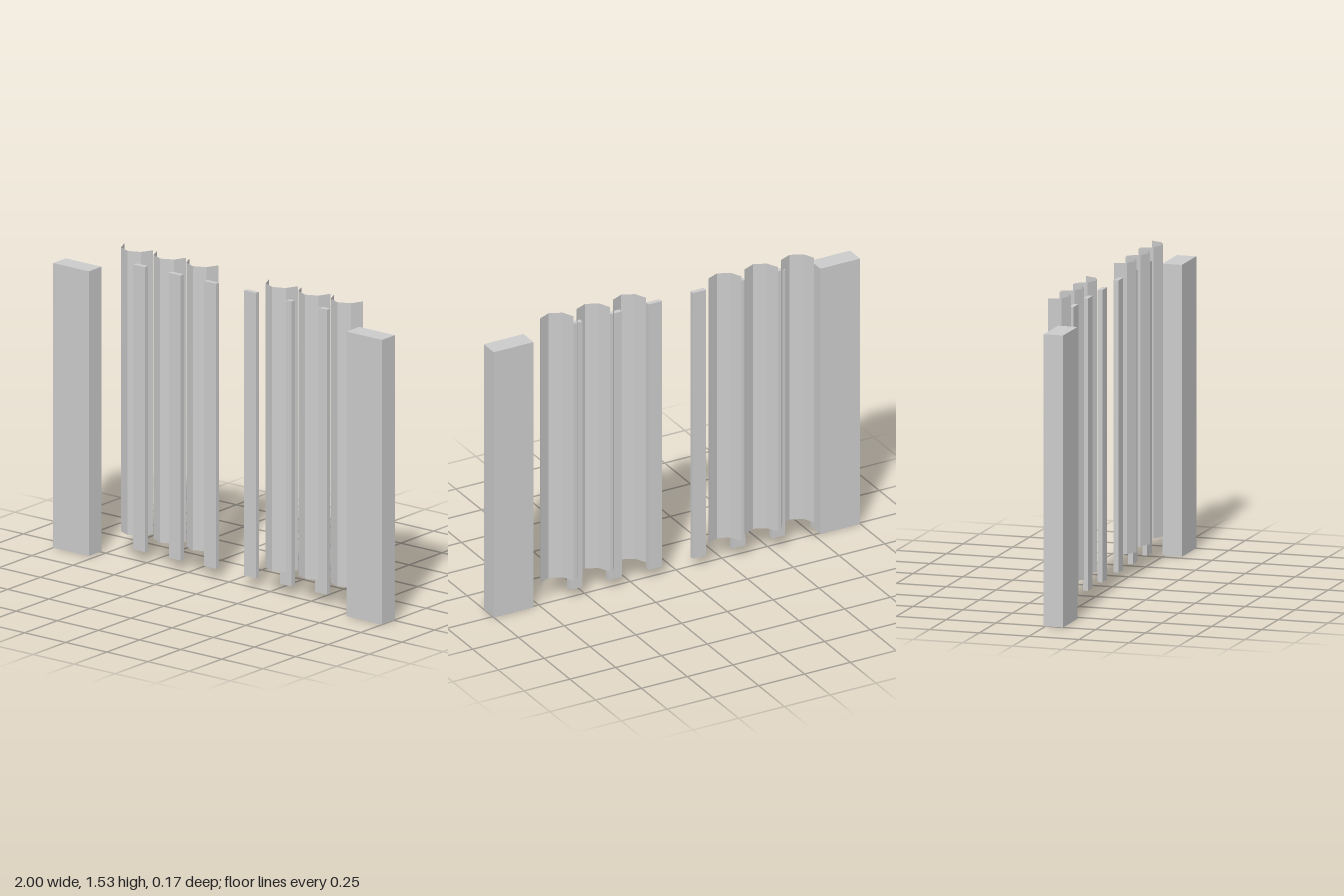
import * as THREE from 'three';

export function createModel() {
  const model = new THREE.Group();
  const solid = new THREE.MeshStandardMaterial({ color: 0xcccccc, flatShading: true });
  const thin = new THREE.MeshStandardMaterial({ color: 0xcccccc, flatShading: true, side: THREE.DoubleSide });

  // Box given by its extents on each axis
  function addBox(name, x0, x1, y0, y1, z0, z1) {
    const mesh = new THREE.Mesh(new THREE.BoxGeometry(x1 - x0, y1 - y0, z1 - z0), solid);
    mesh.position.set((x0 + x1) / 2, (y0 + y1) / 2, (z0 + z1) / 2);
    mesh.name = name;
    model.add(mesh);
  }

  // Broad pillars at both ends
  addBox('rightEndPillar', -1, -0.783, 0, 1.418, -0.01, 0.087);
  addBox('leftEndPillar', 0.783, 1, 0, 1.418, -0.01, 0.087);

  // Thin slats, three on each side of the central gap
  [-0.547, -0.33, -0.115, 0.127, 0.345, 0.56].forEach((x, i) =>
    addBox(`slat${i + 1}`, x - 0.036, x + 0.036, 0.05, 1.47, -0.024, 0));

  // Open folded panel: cross-section in x and z, bowed towards the front
  const fold = [[-0.088, -0.087], [-0.061, -0.029], [0, -0.002], [0.061, -0.029], [0.088, -0.087]];
  const panel = new THREE.PlaneGeometry(1, 1, fold.length - 1, 1);
  const pos = panel.attributes.position;
  for (let i = 0; i < pos.count; i++) {
    const [x, z] = fold[i % fold.length];
    pos.setXYZ(i, x, i < fold.length ? 1.53 : 0.115, z);
  }
  panel.computeVertexNormals();

  // Two groups of three panels; the left group sits slightly further forward
  for (const [side, start, z] of [['right', -0.618, 0], ['left', 0.284, 0.029]]) {
    for (let i = 0; i < 3; i++) {
      const mesh = new THREE.Mesh(panel, thin);
      mesh.position.set(start + i * 0.198, 0, z);
      mesh.name = `${side}FoldedPanel${i + 1}`;
      model.add(mesh);
    }
  }
  return model;
}
